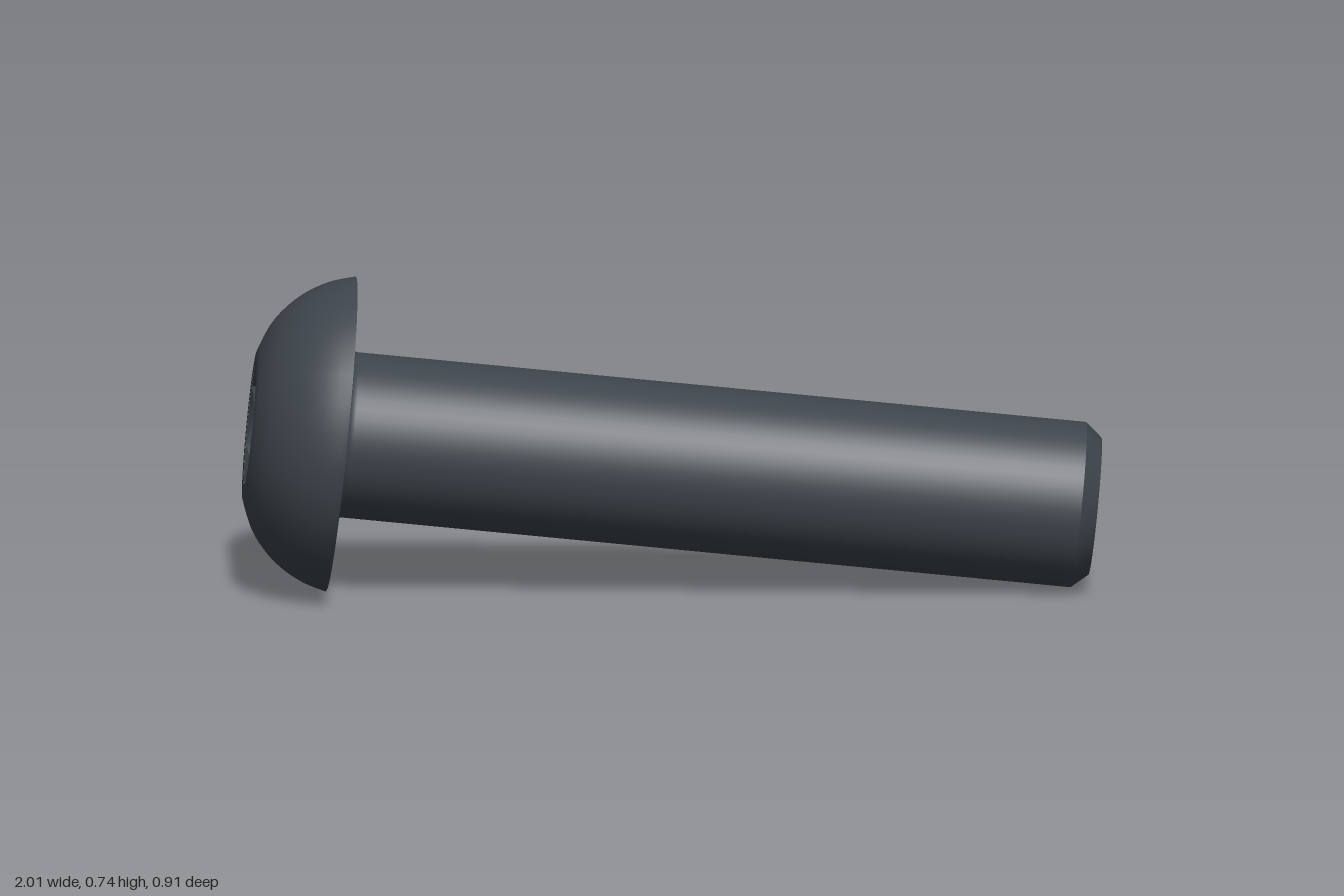
import * as THREE from 'three';
import { toCreasedNormals } from 'three/addons/utils/BufferGeometryUtils.js';

const HEAD_H = 0.2134;      // head height
const LENGTH = 1.768;       // underside of head to tip
const SHANK_R = 0.194;
const SOCKET_R = 0.139;     // corner radius of the hex socket
const SOCKET_DEPTH = 0.126;

const v2 = (x, y) => new THREE.Vector2(x, y);

// Turned part with sharp edges kept sharp
function turned(points, segments) {
  return toCreasedNormals(new THREE.LatheGeometry(points, segments), 0.6);
}

// Domed button head: flat crown, dome, flat underside
function headGeometry() {
  const dome = new THREE.SplineCurve([
    v2(0.175, -HEAD_H), v2(0.24, -0.187), v2(0.292, -0.147),
    v2(0.33, -0.1), v2(0.355, -0.05), v2(0.369, 0),
  ]).getPoints(16);
  return turned([v2(SOCKET_R, -HEAD_H), ...dome, v2(0.19, 0)], 32);
}

// Shank with a small fillet under the head and a chamfered tip
function shankGeometry() {
  const f = 0.022;
  const points = [];
  for (let i = 0; i <= 5; i++) {
    const a = (i / 5) * Math.PI / 2;
    points.push(v2(SHANK_R + f - f * Math.sin(a), f - f * Math.cos(a)));
  }
  points.push(v2(SHANK_R, LENGTH - 0.039), v2(0.161, LENGTH), v2(0, LENGTH));
  return turned(points, 48);
}

// Hex socket: a lathed cup whose rings are pulled in to a hexagon,
// with a conical lead-in meeting the round mouth
function socketGeometry() {
  const top = -HEAD_H + 0.0004;
  const floor = -HEAD_H + SOCKET_DEPTH;
  const rings = [v2(0, floor), v2(SOCKET_R, floor), v2(SOCKET_R, top), v2(SOCKET_R + 0.001, top)];
  const geometry = new THREE.LatheGeometry(rings, 96);
  const p = geometry.attributes.position;
  const side = Math.PI / 3;
  for (let i = 0; i < p.count; i++) {
    const ring = i % rings.length;
    if (ring !== 1 && ring !== 2) continue;
    const phi = (Math.floor(i / rings.length) / 96) * Math.PI * 2;
    const r = SOCKET_R * Math.cos(side / 2) / Math.cos((phi % side) - side / 2);
    const y = ring === 1 ? floor : top + (SOCKET_R - r) * 0.6;
    p.setXYZ(i, r * Math.sin(phi), y, r * Math.cos(phi));
  }
  return toCreasedNormals(geometry, 0.4);
}

export function createModel() {
  const steel = new THREE.MeshStandardMaterial({ color: 0x3d444b });
  steel.name = 'blackened steel';

  const model = new THREE.Group();
  model.name = 'buttonHeadScrew';
  const screw = new THREE.Group();
  screw.name = 'screw';
  model.add(screw);

  const parts = { head: headGeometry(), shank: shankGeometry(), hexSocket: socketGeometry() };
  for (const [name, geometry] of Object.entries(parts)) {
    const mesh = new THREE.Mesh(geometry, steel);
    mesh.name = name;
    screw.add(mesh);
  }

  // Lay the screw along its tilted axis, one socket corner upward
  const axis = new THREE.Vector3(1, -0.1056, 0.2134).normalize();
  const up = new THREE.Vector3(0, 1, 0).addScaledVector(axis, -axis.y).normalize();
  const across = new THREE.Vector3().crossVectors(axis, up);
  screw.quaternion.setFromRotationMatrix(new THREE.Matrix4().makeBasis(across, axis, up));
  screw.position.set(-0.755, 0.371, -0.095);
  return model;
}
